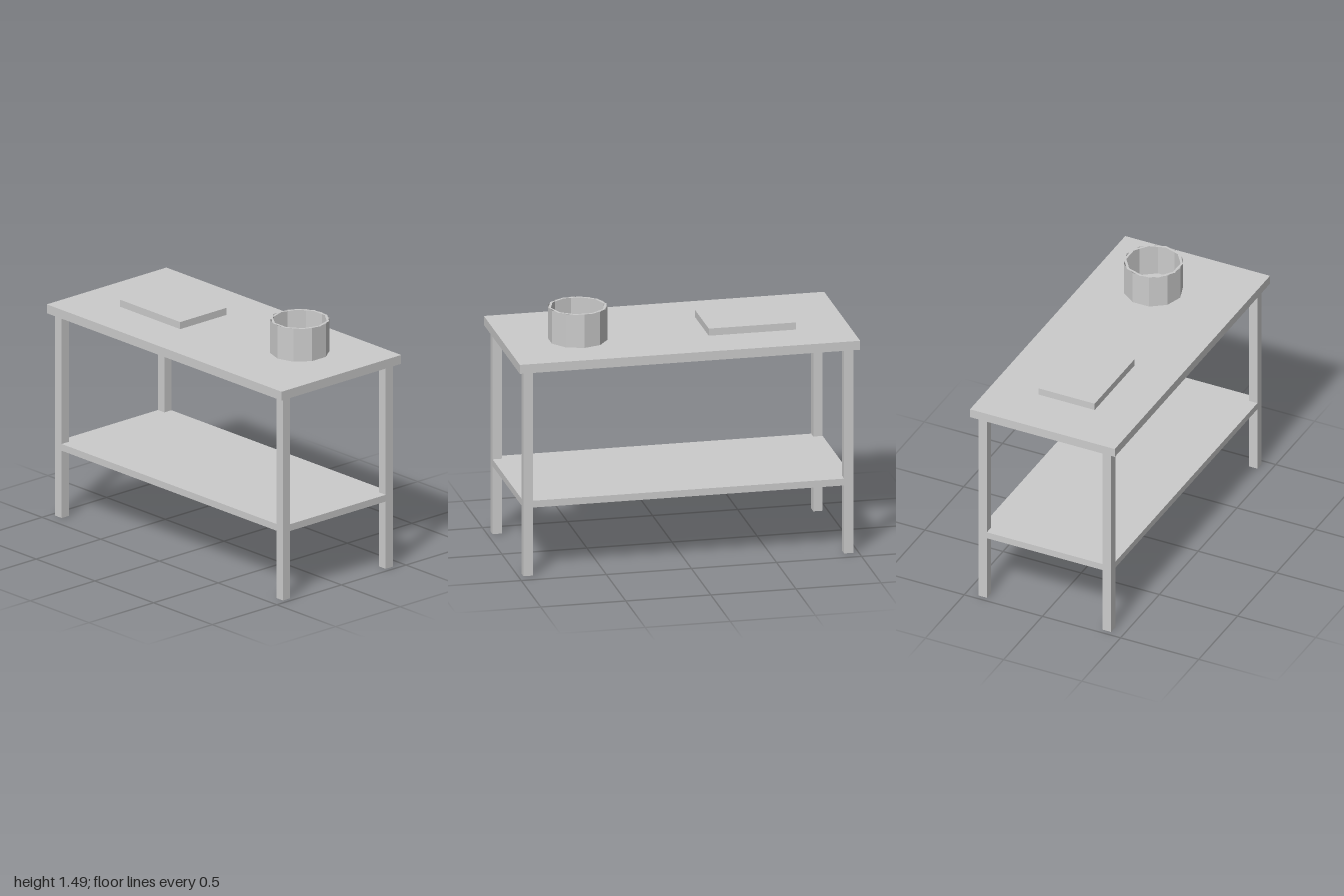
import * as THREE from 'three';

export function createModel() {
  const group = new THREE.Group();
  const mat = new THREE.MeshStandardMaterial({ color: 0xcccccc, flatShading: true });
  const thin = new THREE.MeshStandardMaterial({ color: 0xcccccc, flatShading: true, side: THREE.DoubleSide });

  const add = (parent, name, geometry, material, x, y, z) => {
    const mesh = new THREE.Mesh(geometry, material);
    mesh.name = name;
    mesh.position.set(x, y, z);
    parent.add(mesh);
    return mesh;
  };
  // Box placed by the height of its underside
  const box = (name, w, h, d, x, y, z) =>
    add(group, name, new THREE.BoxGeometry(w, h, d), mat, x, y + h / 2, z);

  const topY = 1.288, topThick = 0.054;

  // Table top and lower shelf, the shelf flush with the outside of the legs
  box('tableTop', 2, topThick, 0.926, 0, topY - topThick, 0);
  box('shelf', 1.94, 0.041, 0.85, 0, 0.41, 0);

  // Four square legs
  for (const [sx, sideX] of [[1, 'Left'], [-1, 'Right']])
    for (const [sz, sideZ] of [[1, 'front'], [-1, 'back']])
      box(`${sideZ}${sideX}Leg`, 0.055, topY - topThick, 0.055, sx * 0.9425, 0, sz * 0.3975);

  // Flat board lying on the table
  box('board', 0.514, 0.043, 0.36, -0.432, topY, 0);

  // Ten-sided open pot with a flat rim turned half a facet to the wall
  const pot = new THREE.Group();
  pot.name = 'pot';
  pot.position.set(0.57, topY, -0.069);
  group.add(pot);
  const radius = 0.1715, height = 0.2;
  add(pot, 'potWall', new THREE.CylinderGeometry(radius, radius, height, 10, 1, true), thin, 0, height / 2, 0);
  const rim = new THREE.RingGeometry(0.157, radius, 10).rotateX(-Math.PI / 2);
  add(pot, 'potRim', rim, thin, 0, height, 0);
  const floor = new THREE.CircleGeometry(radius, 10, Math.PI / 2).rotateX(-Math.PI / 2);
  add(pot, 'potFloor', floor, thin, 0, 0.003, 0);

  return group;
}
